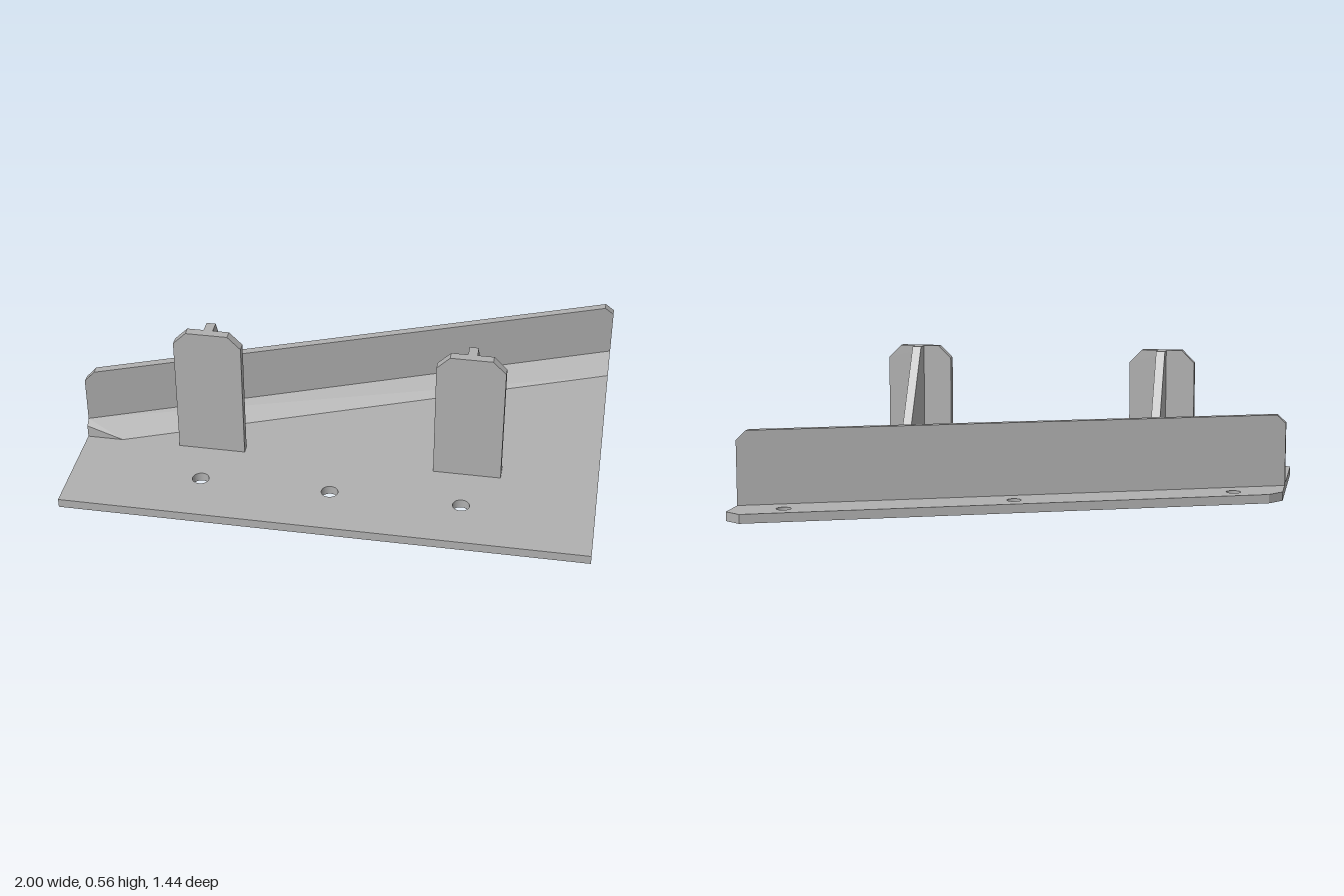
import * as THREE from 'three';
import { ConvexGeometry } from 'three/addons/geometries/ConvexGeometry.js';

const T = 0.035;        // sheet thickness
const SLOPE = -0.4085;  // skew of the back wall: dz per dx
const WALL_BACK = -0.149, WALL_FRONT = -0.116, FOOT = -0.0365; // z at x = 0
const skewZ = (z0, x) => z0 + SLOPE * x;

const steel = new THREE.MeshStandardMaterial({ color: 0xb0b0b0, flatShading: true });
steel.name = 'grey steel';

function part(name, geometry) {
  const mesh = new THREE.Mesh(geometry, steel);
  mesh.name = name;
  return mesh;
}

const outline = (pts) => new THREE.Shape(pts.map(([x, y]) => new THREE.Vector2(x, y)));

const extrude = (shape, depth) =>
  new THREE.ExtrudeGeometry(shape, { depth, bevelEnabled: false, curveSegments: 24 });

const hull = (pts) => new ConvexGeometry(pts.map((p) => new THREE.Vector3(...p)));

// Profile given as (z, y), extruded across x and centred on x = 0
const crossExtrude = (pts, width) =>
  extrude(outline(pts), width).rotateY(-Math.PI / 2).translate(width / 2, 0, 0);

// Base plate with bolt holes
function basePlate() {
  const shape = outline([[-1, -0.72], [1, -0.72], [1, 0.68], [0.935, 0.72], [-0.95, -0.05], [-1, -0.115]]);
  const holes = [
    [-0.5, 0.505, 0.032], [0, 0.505, 0.032], [0.5, 0.505, 0.032],
    [-0.81, 0.08, 0.028], [0, -0.25, 0.028], [0.81, -0.58, 0.028],
  ];
  for (const [x, z, r] of holes) {
    shape.holes.push(new THREE.Path().absarc(x, -z, r, 0, Math.PI * 2, true));
  }
  return part('basePlate', extrude(shape, T).rotateX(-Math.PI / 2));
}

// Skewed wall with clipped top corners
function backWall() {
  const c = 0.035, top = 0.32;
  const geo = extrude(
    outline([[-1, T], [1, T], [1, top - c], [1 - c, top], [c - 1, top], [-1, top - c]]),
    WALL_FRONT - WALL_BACK
  );
  const p = geo.attributes.position;
  for (let i = 0; i < p.count; i++) p.setZ(i, skewZ(p.getZ(i) + WALL_BACK, p.getX(i)));
  geo.computeVertexNormals();
  return part('backWall', geo);
}

// Sloped weld along the wall foot, cut off square at its left-hand end
function wallWeld() {
  const cut = 0.315, top = 0.105;
  const f0 = skewZ(WALL_FRONT, -1), f1 = skewZ(WALL_FRONT, 1);
  const cutY = top - (top - T) * (cut - f0) / (FOOT - WALL_FRONT);
  return part('wallWeld', hull([
    [1, T, f1], [1, top, f1], [1, T, skewZ(FOOT, 1)],
    [-1, T, f0], [-1, top, f0], [-1, cutY, cut], [-1, T, cut],
    [(cut - FOOT) / SLOPE, T, cut],
  ]));
}

// Upright stop with clipped corners and a sloped rib behind it
function upright(name, x, ribEnd) {
  const group = new THREE.Group();
  group.name = name;
  const w = 0.13, c = 0.05, top = 0.565, back = 0.28;
  const face = extrude(outline([[-w, T], [w, T], [w, top - c], [w - c, top], [c - w, top], [-w, top - c]]), T);
  group.add(part('uprightPlate', face.translate(0, 0, back)));

  const tip = -0.07, ribTop = 0.23;
  const end = Math.max(tip, ribEnd);
  const endY = T + (top - T) * (end - tip) / (ribTop - tip);
  const profile = [[end, T], [back, T], [back, top], [ribTop, top]];
  if (endY > T) profile.push([end, endY]);
  group.add(part('rib', crossExtrude(profile, T)));
  group.position.x = x;
  return group;
}

// Sloped welds around the foot of a free-standing upright
function uprightWelds() {
  const group = new THREE.Group();
  group.name = 'uprightWelds';
  const h = 0.037, back = 0.28, top = T + h;
  group.add(part('plateWeld', crossExtrude([[back - h, T], [back, T], [back, top]], 0.26)));
  const pts = [];
  for (const s of [-1, 1]) {
    pts.push([s * (T / 2 + h), T, back], [s * (T / 2 + h), T, -0.07]);
    pts.push([s * T / 2, top, back], [s * T / 2, top, -0.049]);
  }
  group.add(part('ribWeld', hull(pts)));
  return group;
}

export function createModel() {
  const model = new THREE.Group();
  model.name = 'bracket';
  const rightUpright = upright('rightUpright', -0.5, 0.075); // rib stops inside the wall
  const leftUpright = upright('leftUpright', 0.5, -0.07);
  leftUpright.add(uprightWelds());
  model.add(basePlate(), backWall(), wallWeld(), rightUpright, leftUpright);
  return model;
}
